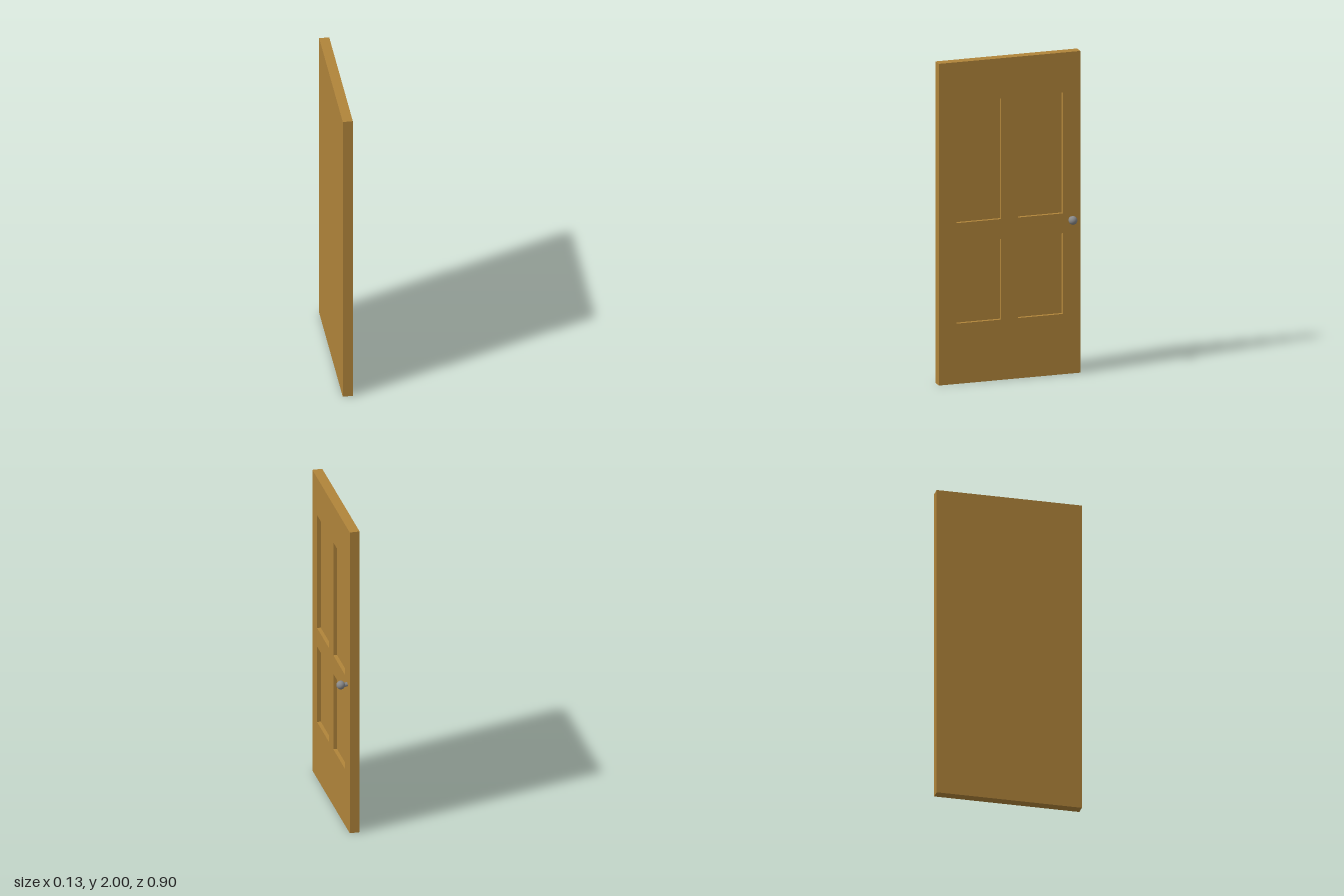
import * as THREE from 'three';

const wood = new THREE.MeshStandardMaterial({ name: 'wood', color: 0xb0843a });
const metal = new THREE.MeshStandardMaterial({ name: 'metal', color: 0x888888 });

const HEIGHT = 2, HALF_WIDTH = 0.449;
const BACK = -0.065, FRONT = -0.004, RECESS = 0.023;

// Traces a rectangle on a shape or hole path
function rect(path, u0, u1, y0, y1) {
  path.moveTo(u0, y0);
  path.lineTo(u1, y0);
  path.lineTo(u1, y1);
  path.lineTo(u0, y1);
  path.closePath();
  return path;
}

export function createModel() {
  const group = new THREE.Group();
  group.name = 'door';
  const add = (name, geometry, material, x, y, z) => {
    const mesh = new THREE.Mesh(geometry, material);
    mesh.name = name;
    mesh.position.set(x, y, z);
    group.add(mesh);
  };

  // Back slab, whose face forms the floor of the recessed panels
  const slab = FRONT - RECESS - BACK;
  add('backSlab', new THREE.BoxGeometry(slab, HEIGHT, HALF_WIDTH * 2), wood,
    BACK + slab / 2, HEIGHT / 2, 0);

  // Front frame with two tall and two short panel openings
  const outline = rect(new THREE.Shape(), -HALF_WIDTH, HALF_WIDTH, 0, HEIGHT);
  for (const [u0, u1] of [[-0.337, -0.054], [0.054, 0.337]]) {
    for (const [y0, y1] of [[0.375, 0.877], [1.0, 1.751]]) {
      outline.holes.push(rect(new THREE.Path(), u0, u1, y0, y1));
    }
  }
  const frame = new THREE.ExtrudeGeometry(outline, { depth: RECESS, bevelEnabled: false });
  frame.rotateY(Math.PI / 2);
  add('panelFrame', frame, wood, FRONT - RECESS, 0, 0);

  // Round knob on a short stem
  const knobX = 0.036, knobY = 0.9625, knobZ = -0.388;
  const stem = new THREE.CylinderGeometry(0.0133, 0.0133, knobX - FRONT, 24);
  stem.rotateZ(Math.PI / 2);
  add('knobStem', stem, metal, (knobX + FRONT) / 2, knobY, knobZ);
  add('knob', new THREE.SphereGeometry(0.0265, 32, 20), metal, knobX, knobY, knobZ);

  return group;
}
